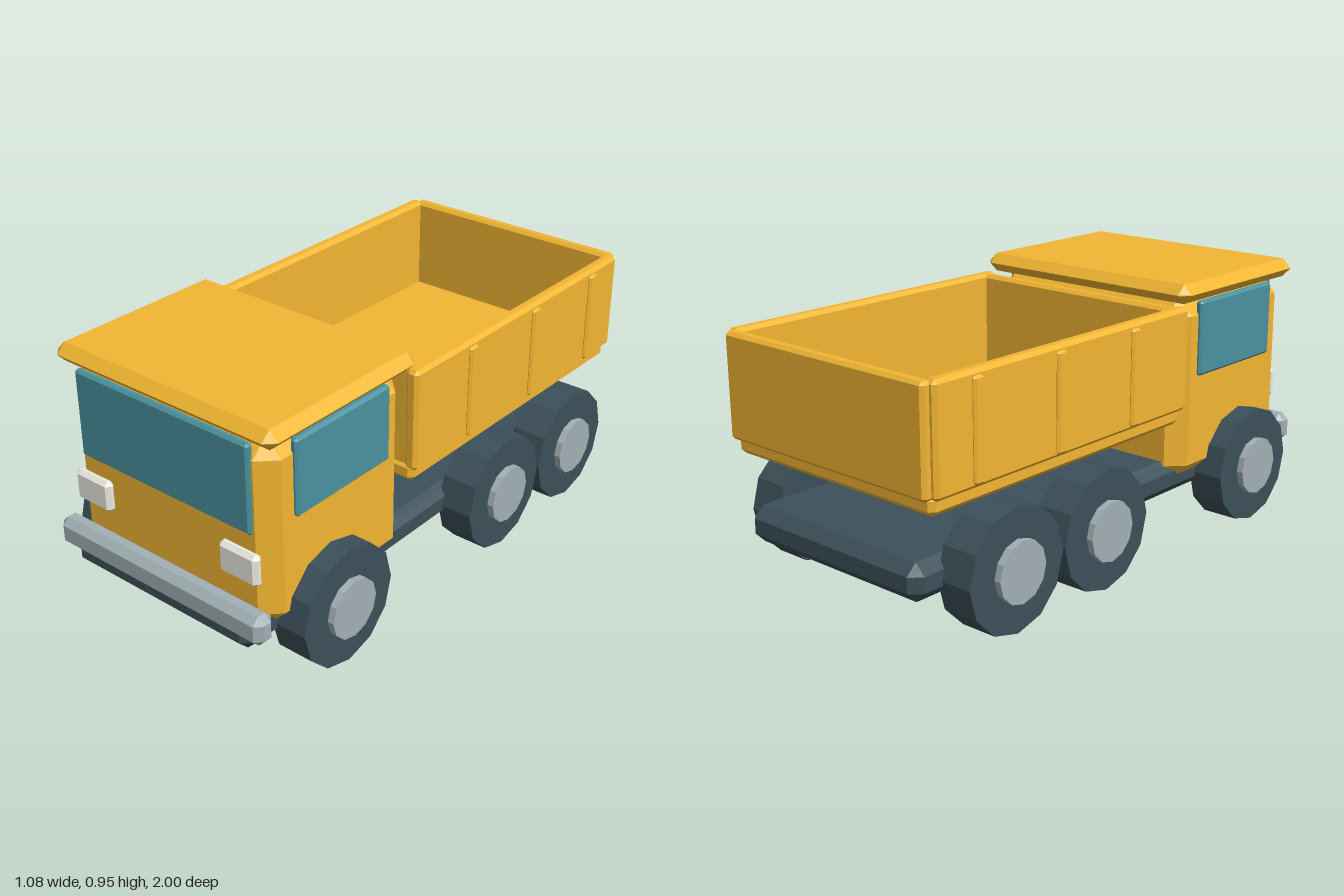
import * as THREE from 'three';
import { ConvexGeometry } from 'three/addons/geometries/ConvexGeometry.js';

const material = (color) => new THREE.MeshStandardMaterial({ color, flatShading: true });

// Box given by [min, max] ranges, with every edge and corner chamfered by c
function chamferBox(name, mat, [x0, x1], [y0, y1], [z0, z1], c) {
  const half = [(x1 - x0) / 2, (y1 - y0) / 2, (z1 - z0) / 2];
  const points = [];
  for (const sx of [-1, 1]) for (const sy of [-1, 1]) for (const sz of [-1, 1]) {
    const sign = [sx, sy, sz];
    for (let full = 0; full < 3; full++) {
      points.push(new THREE.Vector3(...half.map((h, i) => sign[i] * (i === full ? h : h - c))));
    }
  }
  const mesh = new THREE.Mesh(new ConvexGeometry(points), mat);
  mesh.name = name;
  mesh.position.set((x0 + x1) / 2, (y0 + y1) / 2, (z0 + z1) / 2);
  return mesh;
}

// Twelve-sided disc lying along x from x0 to x1
function disc(name, mat, radius, x0, x1) {
  const geometry = new THREE.CylinderGeometry(radius, radius, x1 - x0, 12).rotateZ(Math.PI / 2);
  const mesh = new THREE.Mesh(geometry, mat);
  mesh.name = name;
  mesh.position.x = (x0 + x1) / 2;
  return mesh;
}

export function createModel() {
  const yellow = material(0xf2b632);
  const glass = material(0x4b929f);
  const dark = material(0x3c5059);
  const metal = material(0xa2b0b5);
  const lamp = material(0xecebe2);

  const truck = new THREE.Group();
  truck.name = 'dumpTruck';

  // Range on the given side of the model, mirrored for side = -1
  const sided = (side, a, b) => (side > 0 ? [a, b] : [-b, -a]);

  // Chassis and bumper
  truck.add(chamferBox('chassis', dark, [-0.4, 0.4], [0.16, 0.29], [-0.99, 0.99], 0.038));
  truck.add(chamferBox('bumper', metal, [-0.457, 0.457], [0.217, 0.325], [0.92, 1], 0.025));

  // Cab
  const cab = new THREE.Group();
  cab.name = 'cab';
  cab.add(chamferBox('cabBody', yellow, [-0.44, 0.44], [0.215, 0.885], [0.265, 0.92], 0.06));
  cab.add(chamferBox('roof', yellow, [-0.473, 0.473], [0.88, 0.948], [0.24, 0.94], 0.033));
  cab.add(chamferBox('windshield', glass, [-0.374, 0.374], [0.567, 0.883], [0.905, 0.935], 0.009));
  for (const side of [-1, 1]) {
    cab.add(chamferBox('sideWindow', glass, sided(side, 0.425, 0.455), [0.603, 0.875], [0.366, 0.81], 0.009));
    cab.add(chamferBox('headlight', lamp, sided(side, 0.245, 0.405), [0.395, 0.51], [0.912, 0.95], 0.014));
  }
  truck.add(cab);

  // Open cargo bed
  const bed = new THREE.Group();
  bed.name = 'bed';
  bed.add(chamferBox('bedFloor', yellow, [-0.455, 0.455], [0.455, 0.525], [-0.97, 0.25], 0.018));
  bed.add(chamferBox('bedFrontWall', yellow, [-0.46, 0.46], [0.51, 0.875], [0.2, 0.245], 0.012));
  bed.add(chamferBox('tailgate', yellow, [-0.455, 0.455], [0.51, 0.875], [-0.998, -0.952], 0.012));
  for (const side of [-1, 1]) {
    bed.add(chamferBox('bedSideWall', yellow, sided(side, 0.427, 0.477), [0.51, 0.878], [-0.97, 0.26], 0.013));
    for (const z of [-0.045, -0.42, -0.795]) {
      bed.add(chamferBox('bedRib', yellow, sided(side, 0.462, 0.488), [0.523, 0.86], [z - 0.022, z + 0.022], 0.008));
    }
  }
  truck.add(bed);

  // Six wheels with hubs
  for (const z of [0.644, -0.227, -0.666]) {
    for (const side of [-1, 1]) {
      const wheel = new THREE.Group();
      wheel.name = 'wheel';
      wheel.add(disc('tyre', dark, 0.214, ...sided(side, 0.38, 0.515)));
      wheel.add(disc('hub', metal, 0.106, ...sided(side, 0.41, 0.539)));
      wheel.position.set(0, 0.214, z);
      truck.add(wheel);
    }
  }
  return truck;
}
